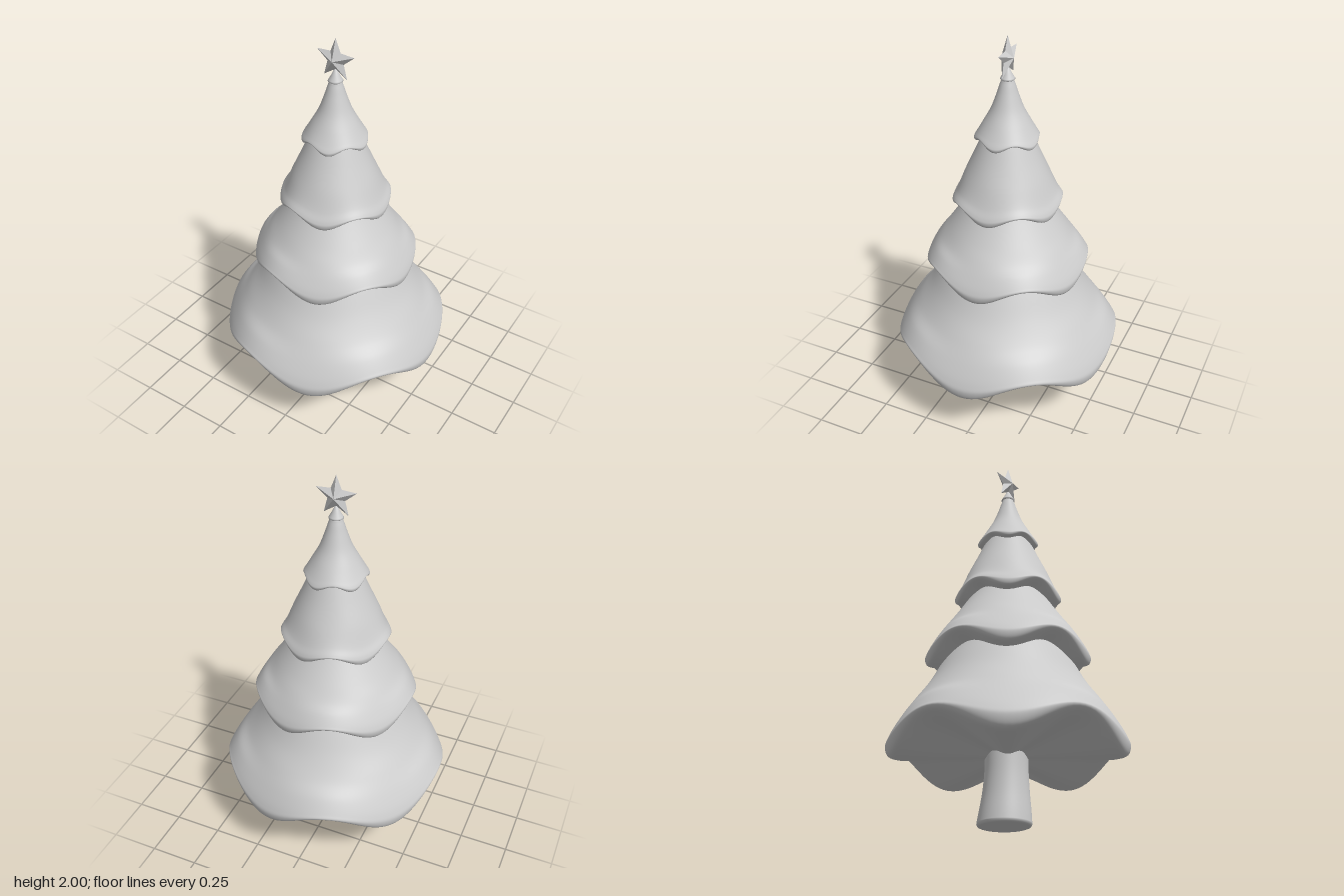
import * as THREE from 'three';

const material = new THREE.MeshStandardMaterial({ color: 0xcccccc });
const LOBES = 5;

function addMesh(group, geometry, name, mat = material) {
  const mesh = new THREE.Mesh(geometry, mat);
  mesh.name = name;
  group.add(mesh);
  return mesh;
}

// Curled lip and underside of a tier of radius 0.585: [radius, height above lowest point, wave]
const LIP = [
  [0.53, 0.21, 0.018], [0.575, 0.135, 0.03], [0.585, 0.107, 0.04], [0.57, 0.073, 0.056],
  [0.52, 0.056, 0.056], [0.4, 0.052, 0.045], [0.15, 0.047, 0.015], [0, 0.046, 0],
];

// Smooth wavy skirt: profile swept round the trunk, its hem rising and falling in five lobes
function tierGeometry({ radius, bottom, body, pinch = 0 }) {
  const s = radius / 0.585;
  const profile = [
    ...body.map(([r, y]) => new THREE.Vector3(r, y, 0)),
    ...LIP.map(([r, y, wave]) => new THREE.Vector3(r * s, bottom + y * s, wave * s)),
  ];
  const points = new THREE.CatmullRomCurve3(profile, false, 'centripetal').getPoints(72);
  const segments = 120;
  const positions = [], index = [];
  points.forEach((p, i) => {
    for (let j = 0; j < segments; j++) {
      const a = (j / segments) * Math.PI * 2;
      const c = Math.cos(LOBES * a);
      const hem = THREE.MathUtils.clamp(p.z / (0.04 * s), 0, 1);
      const r = Math.max(p.x, 0) * (1 + pinch * hem * c);
      positions.push(r * Math.cos(a), p.y - p.z * c, r * Math.sin(a));
      if (i < points.length - 1) {
        const k = (j + 1) % segments;
        const A = i * segments + j, B = i * segments + k;
        index.push(A, B, A + segments, B, B + segments, A + segments);
      }
    }
  });
  const geometry = new THREE.BufferGeometry();
  geometry.setAttribute('position', new THREE.Float32BufferAttribute(positions, 3));
  geometry.setIndex(index);
  geometry.computeVertexNormals();
  return geometry;
}

// Flared trunk, its foot leaning to one side
function trunkGeometry() {
  const side = new THREE.SplineCurve([
    [0.129, 0.012], [0.124, 0.06], [0.112, 0.16], [0.105, 0.26], [0.103, 0.38],
  ].map(([x, y]) => new THREE.Vector2(x, y))).getPoints(24);
  const foot = [[0, 0], [0.118, 0], [0.118, 0], [0.125, 0.003]].map(([x, y]) => new THREE.Vector2(x, y));
  const geometry = new THREE.LatheGeometry([...foot, ...side], 64);
  const pos = geometry.attributes.position;
  for (let i = 0; i < pos.count; i++) {
    const t = Math.max(0, 1 - pos.getY(i) / 0.3);
    pos.setX(i, pos.getX(i) - 0.012 - 0.018 * t * t);
  }
  return geometry;
}

// Faceted five-pointed star with a raised centre on both faces
function starGeometry(outer, inner, depth) {
  const rim = [];
  for (let i = 0; i < 10; i++) {
    const a = Math.PI / 2 + (i * Math.PI) / 5;
    const r = i % 2 ? inner : outer;
    rim.push([r * Math.cos(a), r * Math.sin(a), 0]);
  }
  const positions = [];
  rim.forEach((p, i) => {
    const q = rim[(i + 1) % 10];
    positions.push(...p, ...q, 0, 0, depth, ...q, ...p, 0, 0, -depth);
  });
  const geometry = new THREE.BufferGeometry();
  geometry.setAttribute('position', new THREE.Float32BufferAttribute(positions, 3));
  geometry.computeVertexNormals();
  return geometry;
}

export function createModel() {
  const tree = new THREE.Group();
  tree.name = 'decoratedTree';

  addMesh(tree, trunkGeometry(), 'trunk');

  // Branch tiers, lowest first
  const tiers = [
    { radius: 0.585, bottom: 0.285, body: [[0.26, 0.93], [0.335, 0.79], [0.4, 0.67], [0.47, 0.57]] },
    { radius: 0.415, bottom: 0.765, body: [[0.16, 1.24], [0.225, 1.13], [0.287, 1.035], [0.335, 0.967]] },
    { radius: 0.275, bottom: 1.125, body: [[0.09, 1.58], [0.13, 1.49], [0.165, 1.41], [0.21, 1.312]] },
    {
      radius: 0.158, bottom: 1.475, pinch: 0.03,
      body: [[0, 1.795], [0.026, 1.793], [0.034, 1.775], [0.052, 1.72], [0.08, 1.645], [0.118, 1.575]],
    },
  ];
  tiers.forEach((tier, i) => addMesh(tree, tierGeometry(tier), `branchTier${i + 1}`));

  // Small cone holding the star
  const holder = new THREE.LatheGeometry([
    [0, 1.787], [0.03, 1.787], [0.036, 1.792], [0.033, 1.798], [0.02, 1.82], [0.008, 1.845], [0, 1.85],
  ].map(([x, y]) => new THREE.Vector2(x, y)), 32);
  addMesh(tree, holder, 'starHolder');

  const starMaterial = material.clone();
  starMaterial.flatShading = true;
  addMesh(tree, starGeometry(0.105, 0.046, 0.032), 'star', starMaterial).position.y = 1.895;

  return tree;
}
